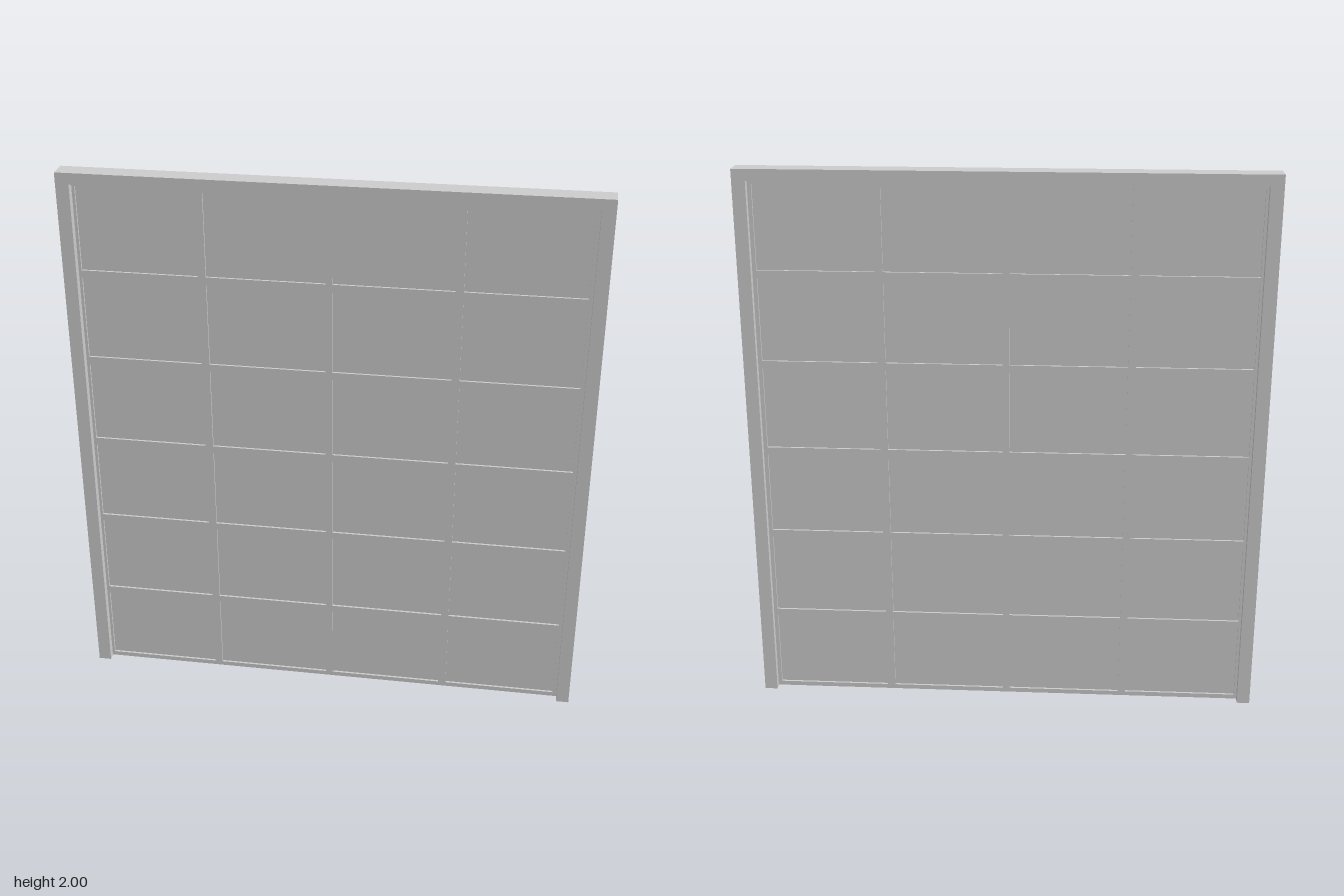
import * as THREE from 'three';

const material = new THREE.MeshStandardMaterial({ color: 0xcccccc, flatShading: true });

// Closed outline from corner points
const outline = (pts, Type = THREE.Shape) => new Type(pts.map(([x, y]) => new THREE.Vector2(x, y)));
const rect = (x0, y0, x1, y1, Type) => outline([[x0, y0], [x1, y0], [x1, y1], [x0, y1]], Type);

// Slab of a shape, spanning z0 to z1
function slab(name, shape, z0, z1) {
  const geometry = new THREE.ExtrudeGeometry(shape, { depth: z1 - z0, bevelEnabled: false });
  geometry.translate(0, 0, z0);
  const mesh = new THREE.Mesh(geometry, material);
  mesh.name = name;
  return mesh;
}

export function createModel() {
  const group = new THREE.Group();
  group.name = 'panelledDoor';

  // Outer frame: two jambs and a head, open at the floor
  const W = 0.927, IN = 0.88, H = 2, TOP = 1.96;
  group.add(slab('outerFrame', outline([
    [-W, 0], [-IN, 0], [-IN, TOP], [IN, TOP], [IN, 0], [W, 0], [W, H], [-W, H],
  ]), -0.037, 0.037));

  // Grid of rails and stiles with one opening per panel
  const columns = [[-0.87, -0.458], [-0.43, -0.015], [0.01, 0.425], [0.453, 0.866]];
  const rows = [[0.02, 0.305], [0.332, 0.632], [0.66, 0.96], [0.988, 1.288], [1.316, 1.616], [1.645, 1.945]];
  const grid = rect(-IN, 0.003, IN, TOP);
  for (const [x0, x1] of columns) {
    for (const [y0, y1] of rows) grid.holes.push(rect(x0, y0, x1, y1, THREE.Path));
  }
  group.add(slab('panelGrid', grid, -0.012, 0.01));

  // Thin recessed panels filling the openings
  const panels = new THREE.Group();
  panels.name = 'panels';
  for (const [x0, x1] of columns) {
    for (const [y0, y1] of rows) panels.add(slab('panel', rect(x0, y0, x1, y1), -0.004, 0.002));
  }
  group.add(panels);
  return group;
}
